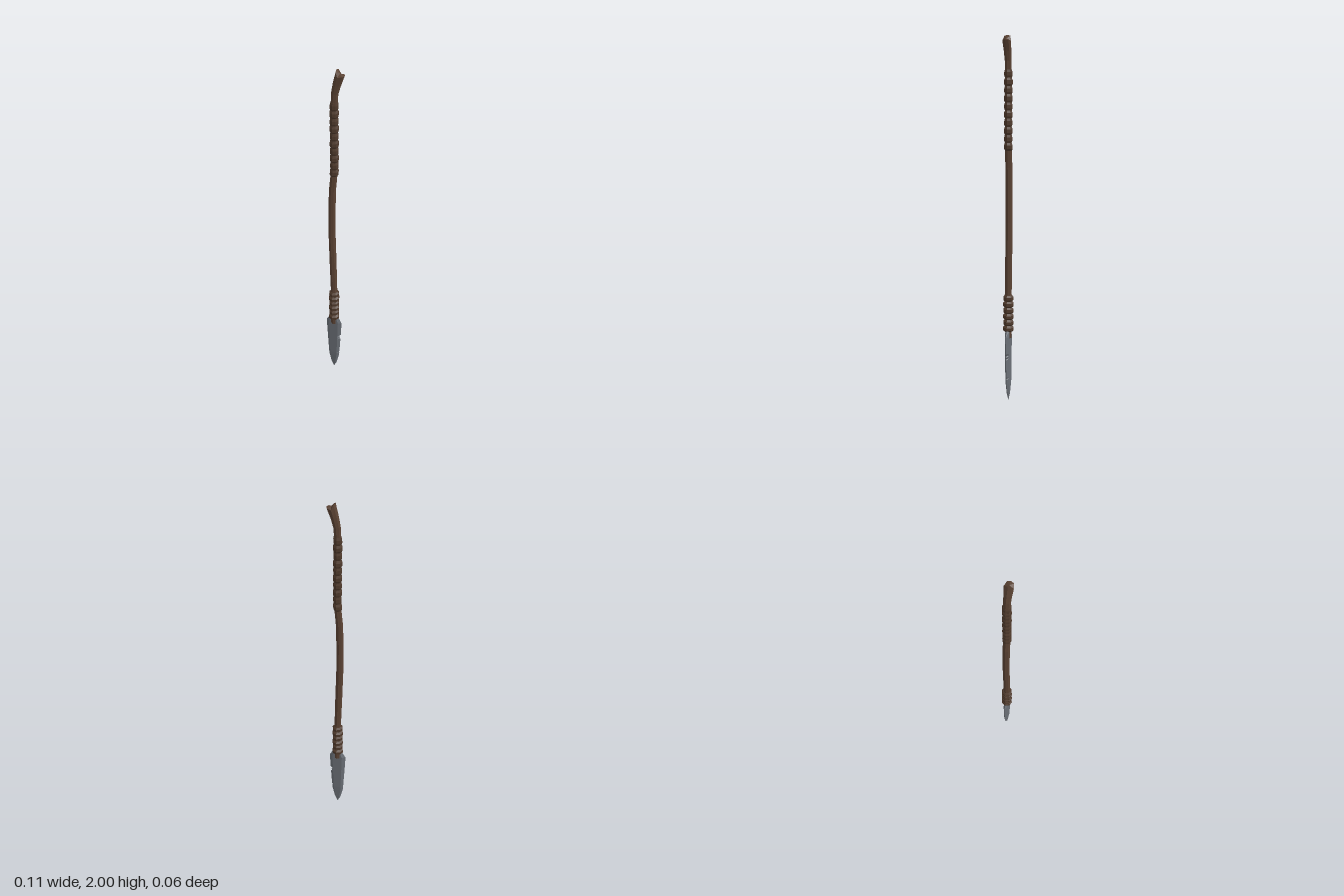
import * as THREE from 'three';

const wood = new THREE.MeshStandardMaterial({ color: 0x5a4233, flatShading: true });
const cord = new THREE.MeshStandardMaterial({ color: 0x4f3a2c, flatShading: true });
const steel = new THREE.MeshStandardMaterial({ color: 0x6b7077, flatShading: true });

const V = (x, y, z) => new THREE.Vector3(x, y, z);

// Joins cross-sections (bottom to top) with facets and closes both ends
function loft(name, rings, material) {
  const pos = [];
  const tri = (...pts) => pts.forEach(p => pos.push(p.x, p.y, p.z));
  const n = rings[0].length;
  const middle = ring => ring.reduce((s, p) => s.add(p), V(0, 0, 0)).divideScalar(n);
  const bottom = rings[0], top = rings[rings.length - 1];
  const cb = middle(bottom), ct = middle(top);
  for (let j = 0; j < n; j++) {
    const k = (j + 1) % n;
    for (let i = 0; i < rings.length - 1; i++) {
      const a = rings[i], b = rings[i + 1];
      tri(a[j], a[k], b[k]);
      tri(a[j], b[k], b[j]);
    }
    tri(cb, bottom[k], bottom[j]);
    tri(ct, top[j], top[k]);
  }
  const geo = new THREE.BufferGeometry();
  geo.setAttribute('position', new THREE.Float32BufferAttribute(pos, 3));
  geo.computeVertexNormals();
  const mesh = new THREE.Mesh(geo, material);
  mesh.name = name;
  return mesh;
}

// Eight-sided section; tilt lowers the +x side
function octagon(x, y, r, tilt = 0) {
  return Array.from({ length: 8 }, (_, i) => {
    const a = i * Math.PI / 4;
    return V(x + r * Math.cos(a), y - tilt * r * Math.cos(a), -r * Math.sin(a));
  });
}

// Bent centre line of the shaft: [x, y, radius]
const path = [
  [-0.005, 0.36, 0.018], [-0.005, 0.6, 0.019], [-0.011, 0.8, 0.020], [-0.017, 1.0, 0.020],
  [-0.017, 1.18, 0.020], [-0.014, 1.3, 0.020], [-0.003, 1.42, 0.019], [-0.004, 1.6, 0.018],
  [-0.005, 1.8, 0.018], [-0.001, 1.87, 0.019]
];
function centreX(y) {
  const i = Math.max(1, path.findIndex(p => p[1] >= y));
  const [a, b] = [path[i - 1], path[i]];
  return THREE.MathUtils.lerp(a[0], b[0], (y - a[1]) / (b[1] - a[1]));
}

// Ridged cord binding around the shaft
function binding(name, y0, y1, turns, rIn, rOut) {
  const rings = [], h = (y1 - y0) / turns;
  for (let i = 0; i < turns; i++) {
    const y = y0 + i * h;
    const r = rOut - (i % 2) * 0.0015;
    for (const [t, rad] of [[0, rIn], [0.25, r], [0.7, r]]) {
      rings.push(octagon(centreX(y + t * h), y + t * h, rad));
    }
  }
  rings.push(octagon(centreX(y1), y1, rIn));
  return loft(name, rings, cord);
}

// Blade section with bevelled edges: the flat keeps its width where the edge is nicked
function bladeRing([y, left, right, t, nick = 0]) {
  const c = (left + right) / 2, f = (right - left) * 0.3;
  return [
    V(right - nick, y, 0), V(c + f, y, -t), V(c - f, y, -t),
    V(left, y, 0), V(c - f, y, t), V(c + f, y, t)
  ];
}

export function createModel() {
  const model = new THREE.Group();
  model.name = 'spear';

  // Shaft with a flared, split butt
  const rings = path.map(([x, y, r]) => octagon(x, y, r, y > 1.85 ? 0.2 : 0));
  rings.push(octagon(0.010, 1.92, 0.021, 0.35));
  const endX = [0.052, 0.046, 0.022, 0.012, 0.008];
  const endY = [1.975, 1.973, 1.968, 1.994, 2.0];
  rings.push(Array.from({ length: 8 }, (_, i) => {
    const k = i <= 4 ? i : 8 - i;
    return V(endX[k], endY[k], -0.024 * Math.sin(i * Math.PI / 4));
  }));
  model.add(loft('shaft', rings, wood));

  // Cord bindings
  model.add(binding('headBinding', 0.395, 0.6, 6, 0.021, 0.031));
  model.add(binding('gripBinding', 1.39, 1.82, 10, 0.019, 0.0245));

  // Blade, point down: [y, left, right, half thickness, nick]
  const blade = [
    [0.005, -0.007, -0.004, 0.001], [0.04, -0.023, 0.012, 0.006], [0.1, -0.037, 0.026, 0.010],
    [0.125, -0.039, 0.029, 0.011], [0.132, -0.039, 0.029, 0.011, 0.004], [0.14, -0.040, 0.030, 0.011],
    [0.24, -0.046, 0.036, 0.011], [0.247, -0.046, 0.036, 0.011, 0.007], [0.254, -0.047, 0.037, 0.011, 0.003],
    [0.262, -0.047, 0.037, 0.011, 0.011], [0.274, -0.048, 0.038, 0.011],
    [0.368, -0.053, 0.043, 0.011], [0.4, -0.033, 0.026, 0.011]
  ];
  model.add(loft('blade', blade.map(bladeRing), steel));

  return model;
}
